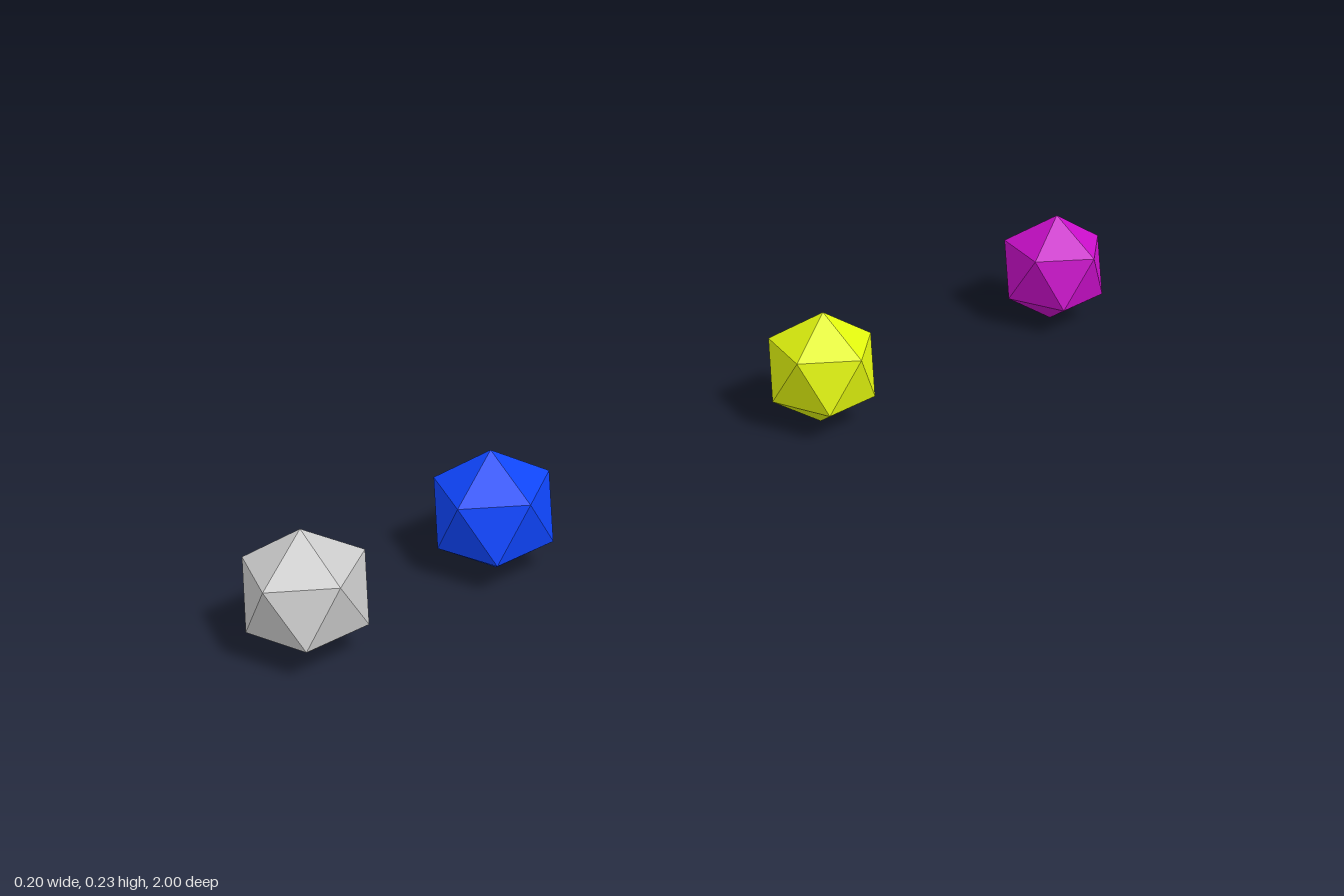
import * as THREE from 'three';

const RADIUS = 0.113;

// Name, colour and z position of each ball in the row
const BALLS = [
  ['greyBall', 0xcccccc, 0.904],
  ['blueBall', 0x0f46ff, 0.528],
  ['yellowBall', 0xe1f50f, -0.245],
  ['magentaBall', 0xc80fc8, -0.904],
];

export function createModel() {
  const model = new THREE.Group();
  model.name = 'ballRow';

  // Icosahedron turned to stand on a corner, with an upper ring corner on +x
  const golden = (1 + Math.sqrt(5)) / 2;
  const geometry = new THREE.IcosahedronGeometry(RADIUS, 0);
  geometry.rotateZ(-Math.atan(1 / golden));

  for (const [name, color, z] of BALLS) {
    const material = new THREE.MeshStandardMaterial({ color, flatShading: true });
    const ball = new THREE.Mesh(geometry, material);
    ball.name = name;
    ball.position.set(0, RADIUS, z);
    model.add(ball);
  }
  return model;
}
